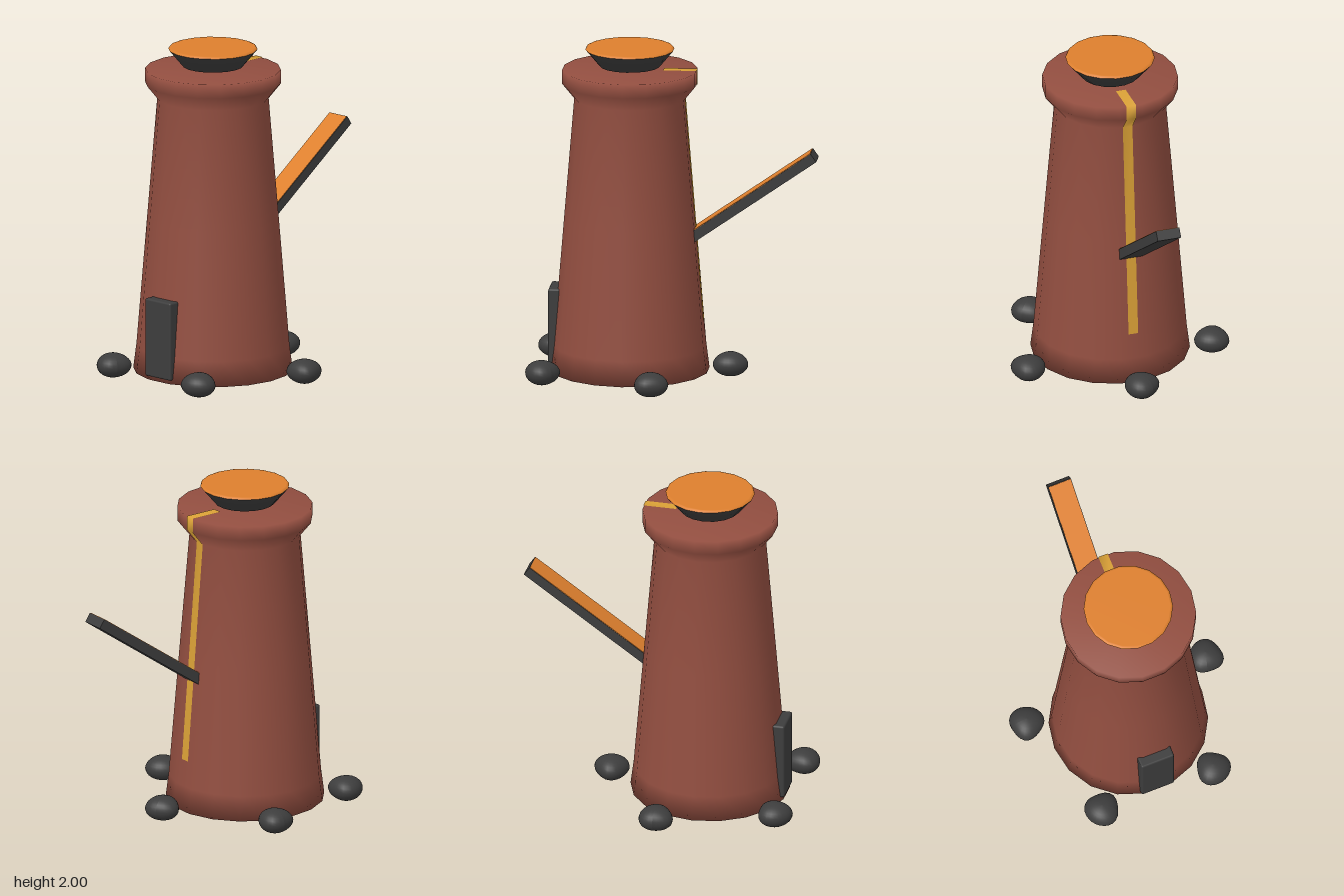
import * as THREE from 'three';
import { RoundedBoxGeometry } from 'three/addons/geometries/RoundedBoxGeometry.js';

const flat = (name, color) => Object.assign(new THREE.MeshStandardMaterial({ color }), { name });
const v2 = (pairs) => pairs.map(([r, y]) => new THREE.Vector2(r, y));

const SIDES = 18;
const STEP = (Math.PI * 2) / SIDES;
const AXIS = { x: -0.007, z: 0.266 }; // centre line of the tower

// A lathe with a flat side facing front and back
const turned = (pairs) => new THREE.LatheGeometry(v2(pairs), SIDES, STEP / 2);

// Squashed, slightly lumpy pebble
function pebbleGeometry() {
  const geo = new THREE.SphereGeometry(1, 24, 16);
  const p = geo.attributes.position;
  const v = new THREE.Vector3();
  for (let i = 0; i < p.count; i++) {
    v.fromBufferAttribute(p, i);
    const a = Math.atan2(v.z, v.x);
    const ring = Math.hypot(v.x, v.z);
    const lump = 1 + 0.06 * ring * Math.cos(3 * a + 0.4) + 0.02 * ring * Math.sin(4 * a);
    p.setXYZ(i, v.x * 0.102 * lump, v.y * 0.073, v.z * 0.102 * lump);
  }
  geo.computeVertexNormals();
  return geo;
}

// Ribbon that follows a back profile of [radius, height] from top to bottom
function ribbonGeometry(width, path) {
  const geo = new THREE.PlaneGeometry(width, 1, 1, path.length - 1);
  const p = geo.attributes.position;
  path.forEach(([r, y], row) => {
    for (let c = 0; c < 2; c++) {
      const i = row * 2 + c;
      p.setXYZ(i, p.getX(i), y, r * Math.cos(STEP / 2) + 0.005);
    }
  });
  geo.rotateY(Math.PI);
  geo.computeVertexNormals();
  return geo;
}

export function createModel() {
  const brick = flat('brick red', 0x924e40);
  const dark = flat('dark grey', 0x3d3d3d);
  const orange = flat('orange', 0xdd7f2d);
  const yellow = flat('yellow', 0xd9a036);

  const model = new THREE.Group();
  const add = (name, geo, mat, parent, x = 0, y = 0, z = 0) => {
    const mesh = new THREE.Mesh(geo, mat);
    mesh.name = name;
    mesh.position.set(x, y, z);
    parent.add(mesh);
    return mesh;
  };

  const tower = new THREE.Group();
  tower.name = 'tower';
  tower.position.set(AXIS.x, 0, AXIS.z);
  model.add(tower);

  // Tapered body with flared collar
  add('body', turned([
    [0, 0.03], [0.475, 0.03], [0.456, 0.18], [0.393, 0.95],
    [0.332, 1.69], [0.404, 1.78], [0.404, 1.865], [0, 1.865],
  ]), brick, tower);

  // Stripe down the back
  add('backStripe', ribbonGeometry(0.06, [
    [0.2, 1.869], [0.404, 1.869], [0.404, 1.78], [0.332, 1.69], [0.393, 0.95], [0.443, 0.34],
  ]), yellow, tower);

  // Dish on top with a coloured lid
  add('dish', turned([[0, 1.862], [0.08, 1.866], [0.18, 1.885], [0.266, 1.988]]), dark, tower);
  add('dishLid', turned([[0.266, 1.988], [0.26, 1.997], [0.25, 2], [0, 2]]), orange, tower);

  // Door plate at the front
  add('door', new RoundedBoxGeometry(0.21, 0.475, 0.09, 2, 0.012), dark, model, -0.01, 0.29, 0.7);

  // Sloping lever at the back with a coloured upper face
  const lever = new THREE.Group();
  lever.name = 'lever';
  lever.position.set(-0.008, 1.11, -0.475);
  lever.rotation.x = Math.atan2(0.51, 0.73);
  model.add(lever);
  add('leverBar', new THREE.BoxGeometry(0.146, 0.06, 0.89), dark, lever);
  add('leverTop', new THREE.BoxGeometry(0.14, 0.006, 0.884), orange, lever, 0, 0.03, 0);

  // Ring of five pebble feet
  const pebble = pebbleGeometry();
  [[-0.58, 0.07], [0.565, 0.08], [-0.37, 0.747], [0.34, 0.755], [-0.005, -0.337]].forEach(([x, z], i) => {
    const foot = add('pebble' + (i + 1), pebble, dark, model, x, 0.075, z);
    foot.rotation.y = i * 1.3;
  });

  return model;
}
